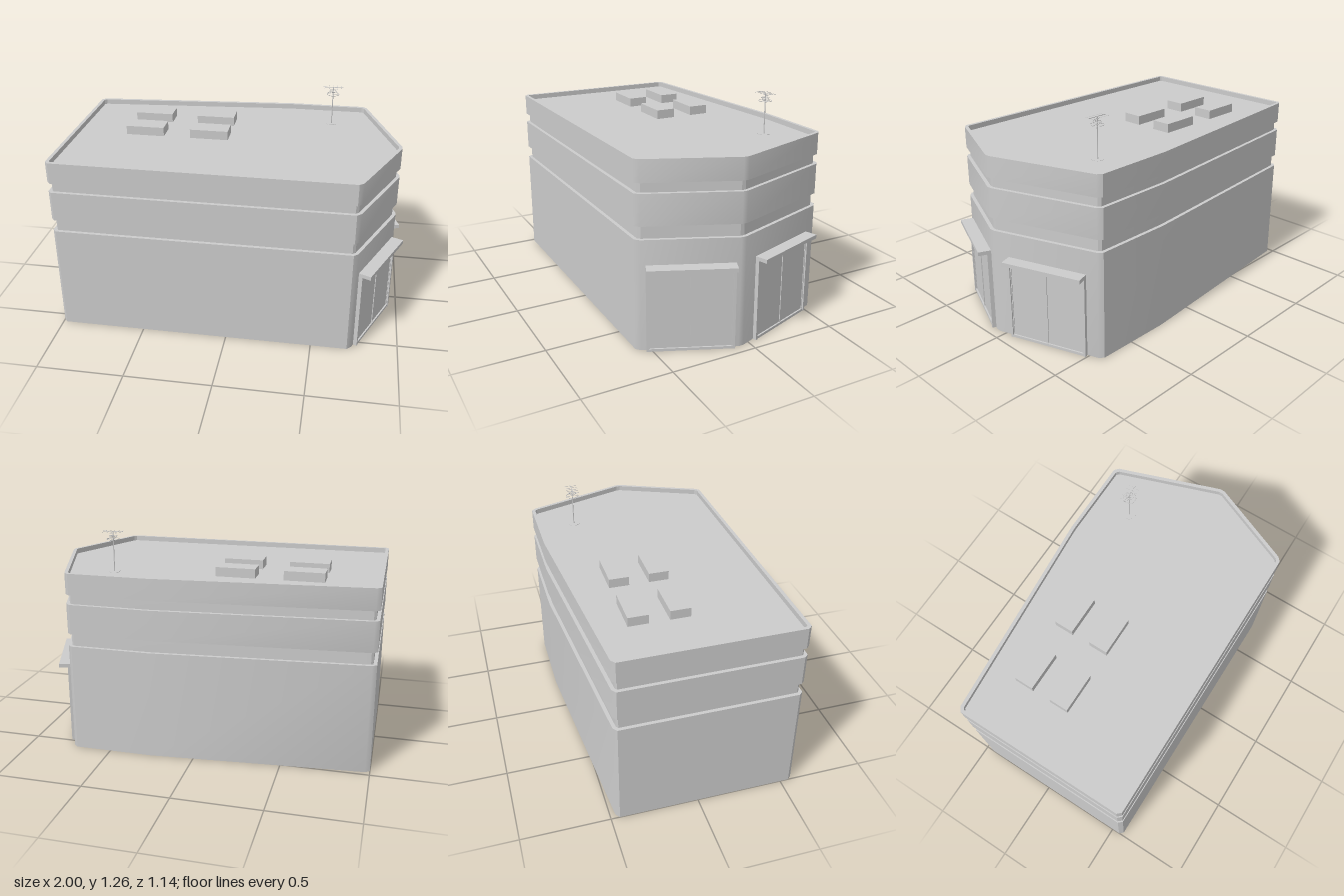
import * as THREE from 'three';
import { toCreasedNormals } from 'three/addons/utils/BufferGeometryUtils.js';

const grey = new THREE.MeshStandardMaterial({ color: 0xcccccc, side: THREE.DoubleSide });

// Footprint with chamfered corners, as [x, z]
const outline = [
  [-1, 0.55], [-0.98, 0.572], [0.71, 0.572], [0.735, 0.55], [0.942, 0.07], [0.942, 0.04],
  [0.735, -0.55], [0.71, -0.572], [0.25, -0.572], [-0.975, -0.47], [-1, -0.45],
];

// Moves every edge of the footprint inward by d
function inset(points, d) {
  const n = points.length;
  const normal = (p, q) => {
    const l = Math.hypot(q[0] - p[0], q[1] - p[1]);
    return [(q[1] - p[1]) / l, -(q[0] - p[0]) / l];
  };
  return points.map((p, i) => {
    const a = normal(points[(i + n - 1) % n], p);
    const b = normal(p, points[(i + 1) % n]);
    const k = d / (1 + a[0] * b[0] + a[1] * b[1]);
    return [p[0] + (a[0] + b[0]) * k, p[1] + (a[1] + b[1]) * k];
  });
}

// Strip of faces between two rings
function band(ringA, yA, ringB, yB, crease) {
  const pos = [];
  ringA.forEach((a, i) => {
    const j = (i + 1) % ringA.length;
    const c = ringA[j], b = ringB[i], d = ringB[j];
    pos.push(a[0], yA, a[1], c[0], yA, c[1], d[0], yB, d[1]);
    pos.push(a[0], yA, a[1], d[0], yB, d[1], b[0], yB, b[1]);
  });
  const g = new THREE.BufferGeometry();
  g.setAttribute('position', new THREE.Float32BufferAttribute(pos, 3));
  return toCreasedNormals(g, crease);
}

function add(parent, name, geometry, x = 0, y = 0, z = 0) {
  const m = new THREE.Mesh(geometry, grey);
  m.name = name;
  m.position.set(x, y, z);
  parent.add(m);
  return m;
}

function box(parent, name, w, h, d, x, y, z) {
  return add(parent, name, new THREE.BoxGeometry(w, h, d), x, y, z);
}

// Double door with frame and canopy; local z points out of the wall
function makeDoor(name, x, z, nx, nz) {
  const door = new THREE.Group();
  door.name = name;
  const w = 0.472, h = 0.47;
  box(door, 'canopy', w, 0.022, 0.09, 0, 0.481, 0.025);
  for (const s of [-1, 1]) {
    box(door, 'doorJamb', 0.013, h, 0.04, s * (w / 2 - 0.0065), h / 2, 0);
    box(door, 'doorLeaf', 0.22, h - 0.02, 0.016, s * 0.112, h / 2 + 0.005, 0);
    box(door, 'leafStile', 0.005, h - 0.015, 0.024, s * 0.22, h / 2 + 0.005, 0);
  }
  box(door, 'doorMullion', 0.007, h - 0.015, 0.026, 0, h / 2 + 0.005, 0);
  box(door, 'doorSill', w - 0.026, 0.015, 0.034, 0, 0.0075, 0);
  door.position.set(x, 0, z);
  door.rotation.y = Math.atan2(nx, nz);
  return door;
}

function makeAntenna() {
  const antenna = new THREE.Group();
  antenna.name = 'antenna';
  add(antenna, 'antennaBase', new THREE.CylinderGeometry(0.035, 0.035, 0.002, 16), 0, 0.001, 0);
  add(antenna, 'mast', new THREE.CylinderGeometry(0.003, 0.003, 0.234, 8), 0, 0.117, 0);
  // Hoops with cross spokes
  for (const [r, y] of [[0.037, 0.19], [0.022, 0.207]]) {
    const hoop = add(antenna, 'hoop', new THREE.TorusGeometry(r, 0.0015, 6, 24), 0, y, 0);
    hoop.rotation.x = Math.PI / 2;
    box(antenna, 'spoke', 2 * r, 0.002, 0.002, 0, y, 0);
    box(antenna, 'spoke', 0.002, 0.002, 2 * r, 0, y, 0);
  }
  // Top boom with dipole rods
  box(antenna, 'boom', 0.12, 0.003, 0.003, 0, 0.233, 0);
  box(antenna, 'shortBoom', 0.04, 0.002, 0.002, 0, 0.221, 0);
  for (const x of [-0.05, -0.025, 0, 0.025, 0.05]) {
    box(antenna, 'dipole', 0.002, 0.002, 0.07, x, 0.232, 0);
  }
  antenna.position.set(0.52, 1.03, -0.338);
  return antenna;
}

export function createModel() {
  const model = new THREE.Group();
  model.name = 'building';

  // Thin shell: walls, two recessed strips, parapet
  const profile = [
    [0, 0], [0, 0.632], [0.02, 0.632], [0.02, 0.705], [0, 0.705], [0, 0.88],
    [0.02, 0.88], [0.02, 0.936], [0, 0.936], [0, 1.06], [0.02, 1.06], [0.02, 1.03],
  ];
  for (let i = 0; i + 1 < profile.length; i++) {
    const [dA, yA] = profile[i], [dB, yB] = profile[i + 1];
    const flat = yA === yB, recessed = dA > 0;
    const name = flat ? 'ledge' : yB < yA ? 'parapetInside' : recessed ? 'recessedStrip' : 'wall';
    add(model, name, band(inset(outline, dA), yA, inset(outline, dB), yB, recessed ? 0.2 : 0.72));
  }

  // Roof deck
  const deck = new THREE.Shape(inset(outline, 0.02).map(([x, z]) => new THREE.Vector2(x, -z)));
  add(model, 'roof', new THREE.ShapeGeometry(deck).rotateX(-Math.PI / 2), 0, 1.03, 0);

  // Rooftop units
  for (const x of [-0.575, -0.187]) {
    for (const z of [-0.252, -0.024]) box(model, 'roofUnit', 0.228, 0.053, 0.114, x, 1.0565, z);
  }

  model.add(makeDoor('frontDoor', 0.842, 0.309, 0.918, 0.396));
  model.add(makeDoor('backDoor', 0.837, -0.265, 0.944, -0.331));
  model.add(makeAntenna());
  return model;
}
